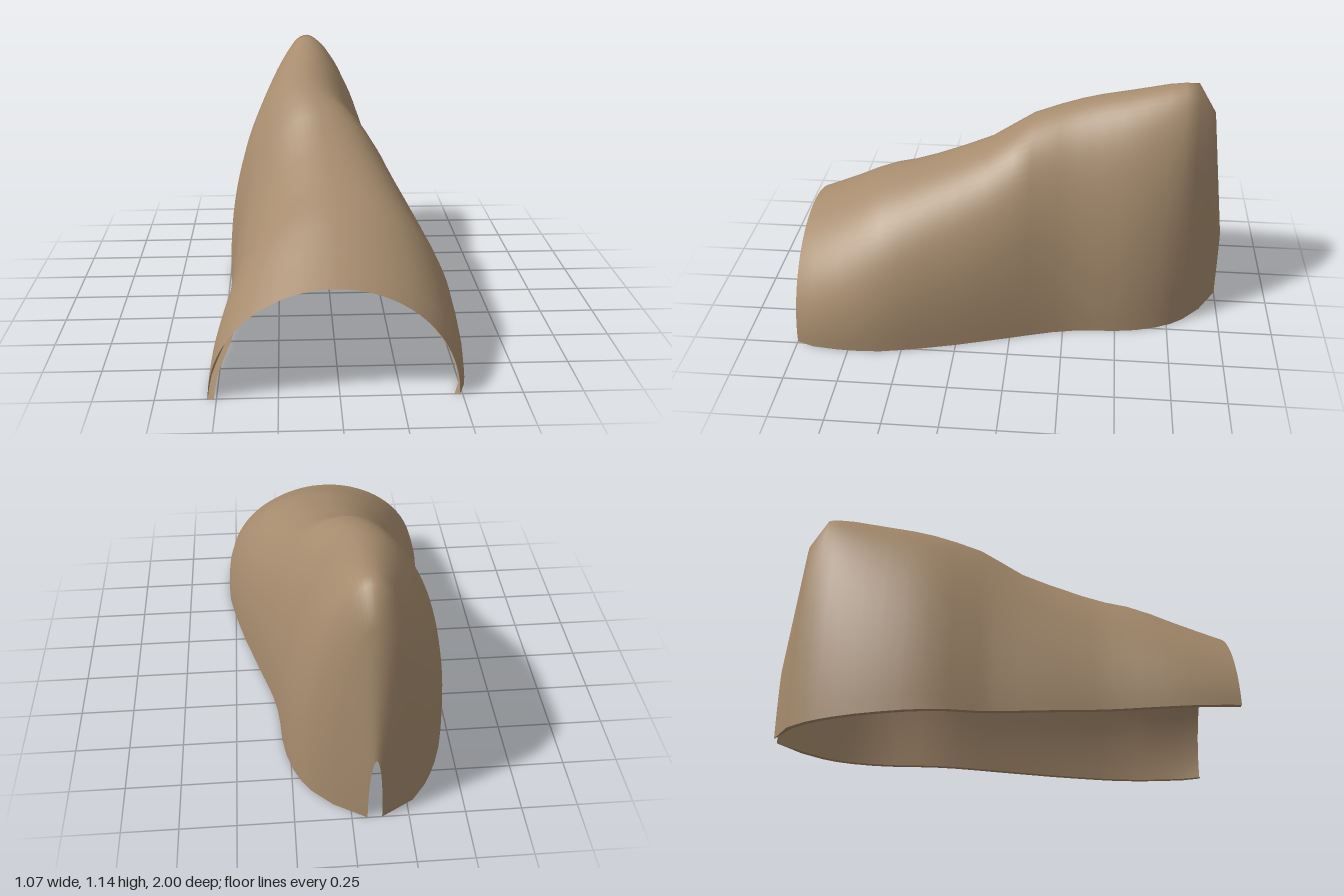
import * as THREE from 'three';

// Stations from open front to back: z, right-hand edge (-x), left-hand edge (+x), crest height, roundness of +x side
const STATIONS = [
  [1.0, -0.535, 0.49, 0.475, 2], [0.92, -0.536, 0.52, 0.515, 2.05], [0.8, -0.532, 0.533, 0.575, 2.1],
  [0.7, -0.52, 0.535, 0.63, 2.15], [0.6, -0.505, 0.53, 0.675, 2.25], [0.5, -0.49, 0.512, 0.702, 2.3],
  [0.4, -0.482, 0.49, 0.735, 2.3], [0.25, -0.48, 0.453, 0.79, 2.3], [0.12, -0.475, 0.415, 0.843, 2.3],
  [0.0, -0.47, 0.38, 0.92, 2.2], [-0.08, -0.473, 0.355, 0.968, 2.1], [-0.2, -0.495, 0.32, 1.003, 2],
  [-0.3, -0.5, 0.3, 1.032, 2], [-0.4, -0.49, 0.29, 1.06, 2], [-0.5, -0.47, 0.285, 1.085, 2],
  [-0.6, -0.445, 0.27, 1.11, 2], [-0.7, -0.41, 0.24, 1.135, 2], [-0.77, -0.378, 0.207, 1.145, 2],
  [-0.83, -0.345, 0.165, 1.145, 2], [-0.915, -0.278, 0.075, 1.0, 2], [-1.0, -0.132, -0.068, 0.35, 2],
];

// Surface through rows of equally long point lists
function loft(rows) {
  const n = rows[0].length, index = [];
  for (let i = 0; i < rows.length - 1; i++) {
    for (let j = 0; j < n - 1; j++) {
      const a = i * n + j, b = a + n;
      index.push(a, b, a + 1, b, b + 1, a + 1);
    }
  }
  const geometry = new THREE.BufferGeometry();
  geometry.setAttribute('position', new THREE.Float32BufferAttribute(rows.flat(2), 3));
  geometry.setIndex(index);
  geometry.computeVertexNormals();
  return geometry;
}

// Half superellipse arch standing on y = 0
function arch([z, x0, x1, h, round], segments = 48) {
  const mid = (x0 + x1) / 2, half = (x1 - x0) / 2, row = [];
  for (let j = 0; j <= segments; j++) {
    const a = (j / segments) * Math.PI;
    const c = j === segments / 2 ? 0 : Math.cos(a);
    const s = j === segments ? 0 : Math.sin(a);
    const e = 2 / (c > 0 ? round : 2);
    row.push([mid + Math.sign(c) * half * Math.abs(c) ** e, h * s ** e, z]);
  }
  return row;
}

// Narrow turned-in rim along one bottom edge
function rim(column, side) {
  const last = STATIONS.length - 1;
  const rows = STATIONS.map((s, i) => {
    const p = STATIONS[Math.max(i - 1, 0)], q = STATIONS[Math.min(i + 1, last)];
    const dx = q[column] - p[column], dz = q[0] - p[0], len = Math.hypot(dx, dz);
    const w = i === last ? 0.002 : 0.025;
    const z = i === 0 ? s[0] : s[0] - (dx / len) * w * side;
    const edge = [s[column], 0, s[0]];
    const inner = [s[column] + (dz / len) * w * side, 0, z];
    return side > 0 ? [inner, edge] : [edge, inner];
  });
  return loft(rows);
}

export function createModel() {
  const group = new THREE.Group();
  group.name = 'archedShell';
  const tan = new THREE.MeshStandardMaterial({ color: 0xa78c6e, side: THREE.DoubleSide });
  tan.name = 'tan';

  const add = (geometry, name) => {
    const mesh = new THREE.Mesh(geometry, tan);
    mesh.name = name;
    group.add(mesh);
  };

  // Hood, open at the front, below and through the slot at the back
  add(loft(STATIONS.map((s) => arch(s))), 'hood');
  // Bottom rims
  add(rim(2, 1), 'leftRim');
  add(rim(1, -1), 'rightRim');
  return group;
}
